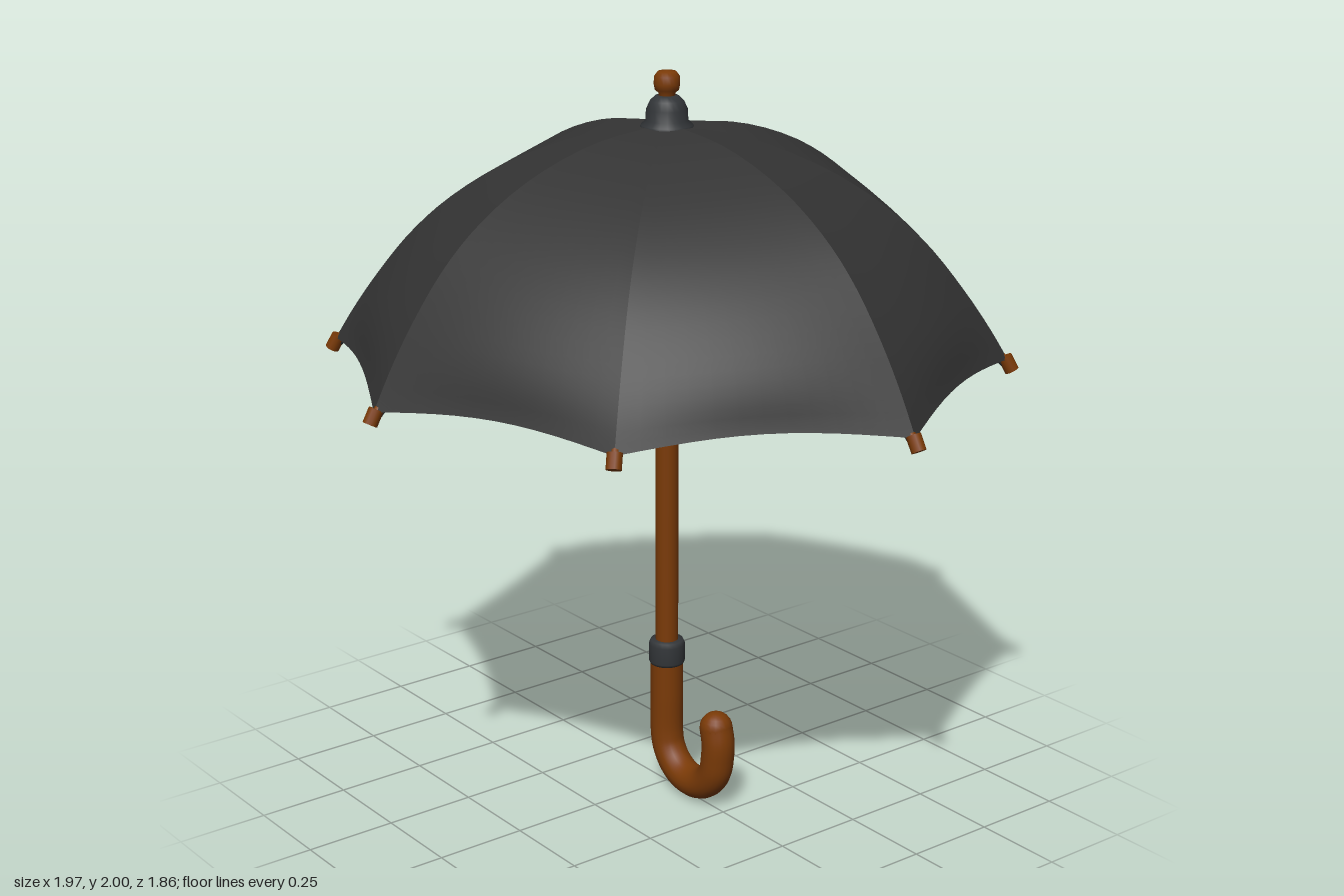
import * as THREE from 'three';

const RIBS = 8;
const V = (x, y, z = 0) => new THREE.Vector3(x, y, z);

const canopyCloth = new THREE.MeshStandardMaterial({ color: 0x343434, side: THREE.DoubleSide });
canopyCloth.name = 'canopy charcoal';
const metal = new THREE.MeshStandardMaterial({ color: 0x323538 });
metal.name = 'dark metal';
const wood = new THREE.MeshStandardMaterial({ color: 0x7a3a07 });
wood.name = 'brown wood';

// Rib curve from crown to rim: x is the radius
const ribCurve = new THREE.CatmullRomCurve3([
  V(0.03, 1.862), V(0.25, 1.837), V(0.46, 1.77), V(0.62, 1.68),
  V(0.73, 1.586), V(0.83, 1.465), V(0.9, 1.36), V(0.955, 1.262),
]);

// The plan is longest along x; the diagonal ribs stand closer to the z axis
const isDiagonal = (i) => i % 2 === 1;
const onRib = (i, r, y) => {
  const a = (i / RIBS) * Math.PI * 2;
  return V(Math.cos(a) * r * (isDiagonal(i) ? 0.925 : 1), y, Math.sin(a) * r * 0.945);
};

// Point on the cloth above a rib; the diagonal ribs arch a little less
const clothOnRib = (i, t) => {
  const p = ribCurve.getPoint(t);
  const drop = isDiagonal(i) ? 0.032 * Math.sin(Math.PI * t) : 0;
  return onRib(i, p.x, p.y - drop);
};

function add(group, name, geometry, material) {
  const mesh = new THREE.Mesh(geometry, material);
  mesh.name = name;
  group.add(mesh);
  return mesh;
}

// Straight round bar between two points
function bar(group, name, a, b, r, material, sides = 8) {
  const dir = b.clone().sub(a);
  const mesh = add(group, name, new THREE.CylinderGeometry(r, r, dir.length(), sides), material);
  mesh.position.copy(a).add(b).multiplyScalar(0.5);
  mesh.quaternion.setFromUnitVectors(V(0, 1), dir.normalize());
  return mesh;
}

function turned(group, name, profile, material, sides = 20) {
  return add(group, name, new THREE.LatheGeometry(profile.map(([r, y]) => new THREE.Vector2(r, y)), sides), material);
}

// Cloth between rib i and the next: puffed above the hem, which tucks back in
function panelGeometry(i) {
  const rows = 24, cols = 12, positions = [], index = [];
  for (let r = 0; r <= rows; r++) {
    const t = r / rows;
    const a = clothOnRib(i, t), b = clothOnRib(i + 1, t);
    for (let c = 0; c <= cols; c++) {
      const s = c / cols;
      const q = a.clone().lerp(b, s);
      const across = Math.sin(Math.PI * s);
      const hem = across * Math.pow(t, 8);
      const puff = across * Math.pow(Math.sin(Math.PI * t * t), 2);
      const widen = 1 + 0.028 * puff - 0.018 * hem;
      positions.push(q.x * widen, q.y + 0.027 * hem, q.z * widen);
      if (r < rows && c < cols) {
        const k = r * (cols + 1) + c, n = k + cols + 1;
        index.push(k, k + 1, n, k + 1, n + 1, n);
      }
    }
  }
  const g = new THREE.BufferGeometry();
  g.setAttribute('position', new THREE.Float32BufferAttribute(positions, 3));
  g.setIndex(index);
  g.computeVertexNormals();
  return g;
}

export function createModel() {
  const model = new THREE.Group();
  model.name = 'umbrella';

  const canopy = new THREE.Group();
  canopy.name = 'canopy';
  const frame = new THREE.Group();
  frame.name = 'frame';
  model.add(canopy, frame);

  for (let i = 0; i < RIBS; i++) {
    add(canopy, 'canopyPanel', panelGeometry(i), canopyCloth);

    // Joint, spreader and paired rods reaching the rim
    const joint = onRib(i, 0.53, 1.633);
    const tip = onRib(i, 0.95, 1.25);
    add(frame, 'ribJoint', new THREE.SphereGeometry(0.034, 12, 8), metal).position.copy(joint);
    bar(frame, 'spreader', onRib(i, 0.04, 1.49), joint, 0.013, metal);
    bar(frame, 'lowerRod', joint, tip, 0.013, metal);
    const lift = V(0, 0.02);
    bar(frame, 'woodenRod', joint.clone().add(lift), tip.clone().add(lift.multiplyScalar(0.4)), 0.011, wood);

    // Upper rib from the crown to the joint
    bar(frame, 'upperRib', onRib(i, 0.03, 1.8), joint, 0.01, metal);

    // Wooden tip
    bar(frame, 'ribTip', onRib(i, 0.947, 1.268), onRib(i, 0.968, 1.232), 0.019, wood, 12);
  }

  // Shaft, sliding runner and crown
  bar(model, 'shaft', V(0, 0.38), V(0, 1.92), 0.031, wood, 20);
  turned(model, 'runner', [
    [0.03, 1.32], [0.045, 1.32], [0.045, 1.37], [0.058, 1.38], [0.058, 1.43],
    [0.05, 1.44], [0.05, 1.47], [0.065, 1.48], [0.065, 1.52], [0.03, 1.53],
  ], metal);
  turned(model, 'crownCap', [
    [0.03, 1.838], [0.072, 1.843], [0.068, 1.86], [0.055, 1.872], [0.054, 1.9], [0.044, 1.922], [0.03, 1.935], [0, 1.938],
  ], metal);
  turned(model, 'topKnob', [
    [0.021, 1.92], [0.022, 1.942], [0.031, 1.95], [0.034, 1.965], [0.033, 1.985], [0.024, 1.997], [0, 2],
  ], wood);

  // Collar
  turned(model, 'collar', [
    [0.03, 0.362], [0.046, 0.362], [0.05, 0.37], [0.05, 0.418], [0.045, 0.43], [0.03, 0.432],
  ], metal);

  // Hooked handle with a rounded end
  const handle = new THREE.Group();
  handle.name = 'handle';
  model.add(handle);
  const hook = [V(0, 0.38), V(0, 0.27)];
  for (let k = 0; k <= 8; k++) {
    const a = Math.PI * (1 + k / 8);
    hook.push(V(0.112 + 0.112 * Math.cos(a), 0.158 + 0.112 * Math.sin(a)));
  }
  hook.push(V(0.226, 0.2), V(0.217, 0.243));
  add(handle, 'hook', new THREE.TubeGeometry(new THREE.CatmullRomCurve3(hook), 64, 0.045, 18), wood);
  add(handle, 'hookEnd', new THREE.SphereGeometry(0.045, 18, 12), wood).position.copy(hook[hook.length - 1]);

  return model;
}
